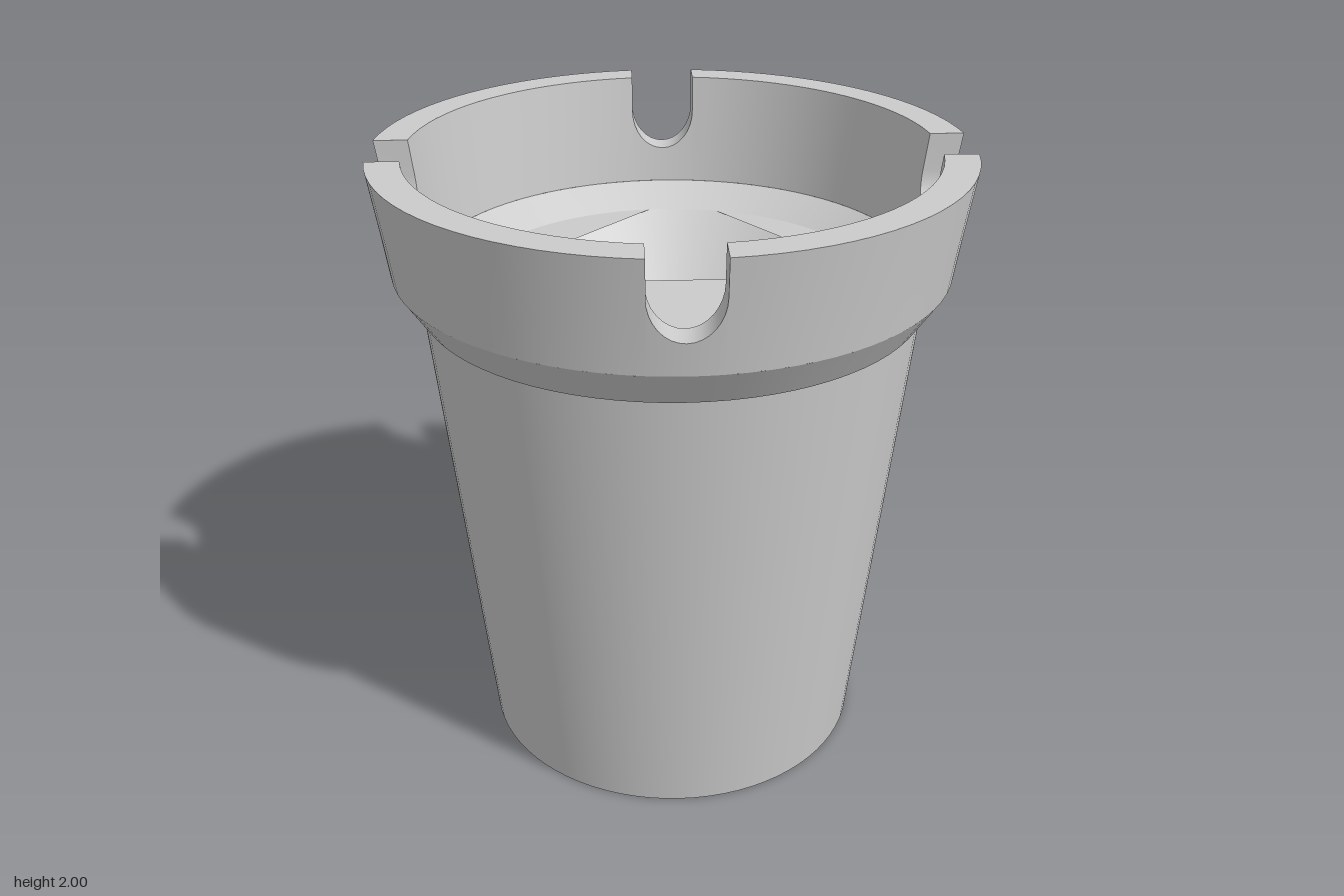
import * as THREE from 'three';
import { mergeGeometries, toCreasedNormals } from 'three/addons/utils/BufferGeometryUtils.js';

const SEGMENTS = 80;
const TOP = 2, RIM_BASE = 1.655, INNER_BASE = 1.64, FLOOR = 1.57;
const FLOOR_R = 0.66, DRAIN_R = 0.145, DRAIN_Y = 1.0;
const NOTCH_W = 0.105, NOTCH_Y = 1.755, NOTCH_CURVE = 0.13;

const material = new THREE.MeshStandardMaterial({ color: 0xcccccc });
const thin = new THREE.MeshStandardMaterial({ color: 0xcccccc, side: THREE.DoubleSide });

function mesh(name, geometry, mat = material) {
  const m = new THREE.Mesh(geometry, mat);
  m.name = name;
  return m;
}

// Lathe with a sharp edge at every profile point
function sharpLathe(profile) {
  const parts = [];
  for (let i = 0; i < profile.length - 1; i++) {
    const pair = [profile[i], profile[i + 1]].map(([r, y]) => new THREE.Vector2(r, y));
    parts.push(new THREE.LatheGeometry(pair, SEGMENTS));
  }
  return mergeGeometries(parts);
}

// Radii of the rim's outer and inner walls at height y
const outerR = (y) => (y < 1.8 ? 0.865 + (y - RIM_BASE) * 0.138 : 0.885 + (y - 1.8) * 0.15);
const innerR = (y) => 0.77 + (y - INNER_BASE) * 0.111;

// Rim: upright slices swept around, dipping to a U at the four notches
function rimGeometry() {
  const columns = [];
  const addColumn = (turn, h, place) => {
    const point = (r, y) => {
      const a = turn + place(r);
      return [r * Math.sin(a), y, r * Math.cos(a)];
    };
    const mid = Math.min(1.8, (RIM_BASE + h) / 2);
    columns.push([
      point(outerR(RIM_BASE), RIM_BASE), point(outerR(mid), mid), point(outerR(h), h),
      point(innerR(h), h), point(innerR(mid), mid), point(innerR(INNER_BASE), INNER_BASE),
    ]);
  };
  const notchSteps = 16, arcSteps = 18;
  for (let q = 0; q < 4; q++) {
    const turn = q * Math.PI / 2;
    for (let i = 0; i <= notchSteps; i++) {
      const t = -Math.PI / 2 + Math.PI * i / notchSteps;
      const u = NOTCH_W * Math.sin(t);
      addColumn(turn, NOTCH_Y + NOTCH_CURVE * (1 - Math.cos(t)), (r) => Math.asin(u / r));
    }
    for (let i = 0; i <= arcSteps; i++) {
      const k = i / arcSteps;
      addColumn(turn, TOP, (r) => {
        const edge = Math.asin(NOTCH_W / r);
        return edge + (Math.PI / 2 - 2 * edge) * k;
      });
    }
  }
  const rows = columns[0].length, index = [];
  for (let i = 0; i < columns.length; i++) {
    const n = (i + 1) % columns.length;
    for (let j = 0; j < rows - 1; j++) {
      const a = i * rows + j, b = n * rows + j;
      index.push(a, b, b + 1, a, b + 1, a + 1);
    }
  }
  const g = new THREE.BufferGeometry();
  g.setAttribute('position', new THREE.Float32BufferAttribute(columns.flat(2), 3));
  g.setIndex(index);
  return toCreasedNormals(g, 0.5);
}

// Flat plate cut from a disc by the chord between two angles (degrees)
function discSegment(radius, from, to, y) {
  const shape = new THREE.Shape();
  shape.absarc(0, 0, radius, THREE.MathUtils.degToRad(from), THREE.MathUtils.degToRad(to), false);
  return new THREE.ShapeGeometry(shape, 40).rotateX(-Math.PI / 2).translate(0, y, 0);
}

export function createModel() {
  const group = new THREE.Group();

  // Tapered cup and flared collar
  group.add(mesh('body', sharpLathe([[0, 0], [0.63, 0], [0.78, 1.54], [0.79, 1.54], [0.865, RIM_BASE]])));

  // Notched rim
  group.add(mesh('rim', rimGeometry()));

  // Sloped ring, funnel and drain inside the bowl
  group.add(mesh('bowl', sharpLathe([
    [0.77, INNER_BASE], [FLOOR_R, FLOOR], [DRAIN_R, DRAIN_Y], [DRAIN_R, 0.8], [0, 0.8],
  ])));

  // Partial floor over the funnel, open at the back
  group.add(mesh('floor', mergeGeometries(
    [[180, 360], [94.5, 180], [0, 74]].map(([a, b]) => discSegment(FLOOR_R, a, b, FLOOR))), thin));

  // Partial cover over the drain
  group.add(mesh('drainCover', mergeGeometries(
    [[180, 360], [90, 180], [0, 90]].map(([a, b]) => discSegment(DRAIN_R, a, b, DRAIN_Y))), thin));

  return group;
}
